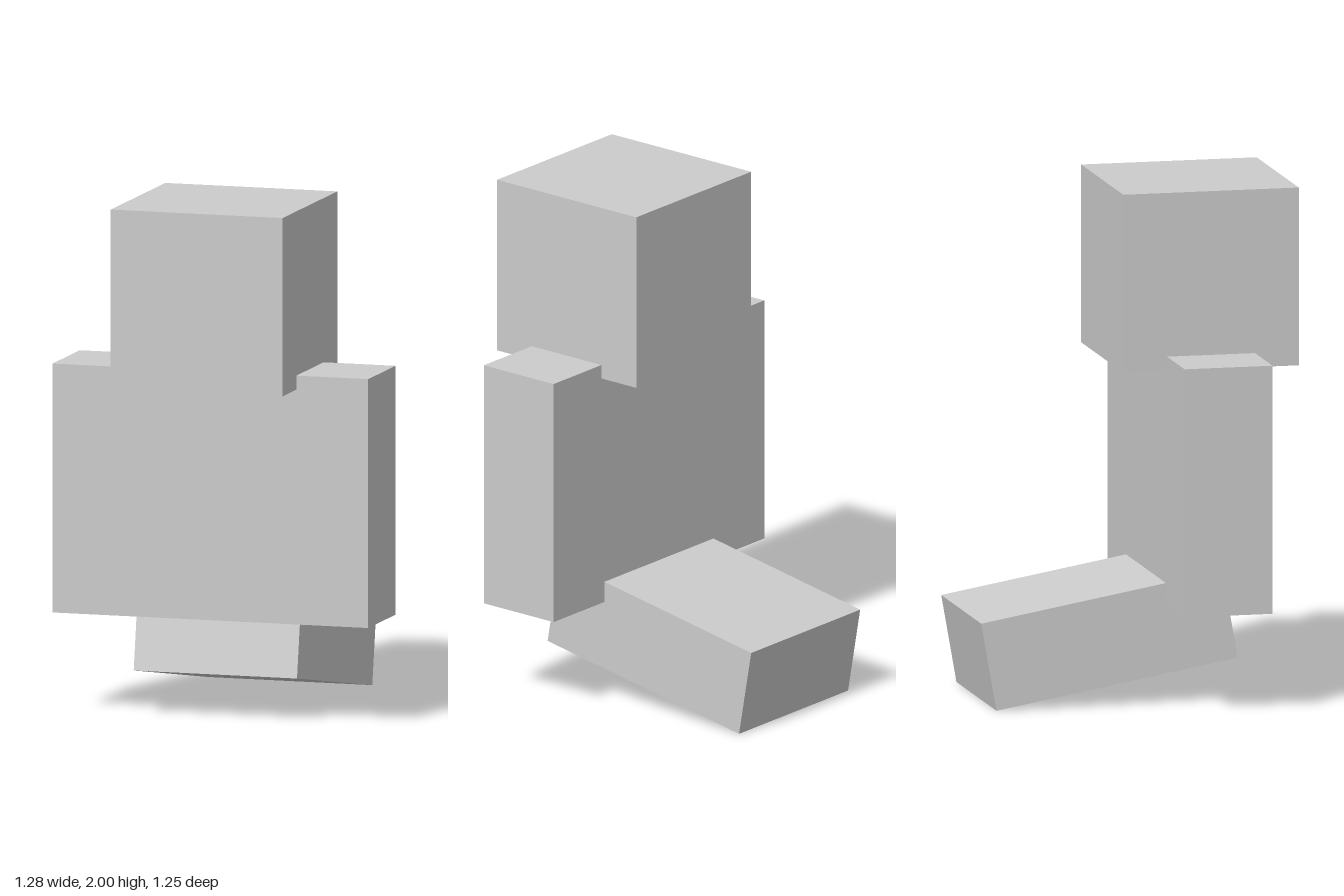
import * as THREE from 'three';

const material = new THREE.MeshStandardMaterial({ color: 0xcccccc, flatShading: true });

// Named block from its size and centre
function block(name, size, centre) {
  const mesh = new THREE.Mesh(new THREE.BoxGeometry(...size), material);
  mesh.name = name;
  mesh.position.set(...centre);
  return mesh;
}

export function createModel() {
  const model = new THREE.Group();
  model.name = 'blockFigure';

  // Cube head, overlapping the top of the torso
  const head = block('head', [0.695, 0.695, 0.695], [0, 1.6525, 0.28]);

  // Upright slab for torso and arms
  const torso = block('torso', [1.276, 0.97, 0.348], [0, 0.875, 0.28]);

  // Legs stretch backwards, sloping down to the ground
  const legs = block('legs', [0.66, 0.348, 0.97], [0, 0.256, -0.118]);
  legs.rotation.x = -THREE.MathUtils.degToRad(10);

  model.add(head, torso, legs);
  return model;
}
